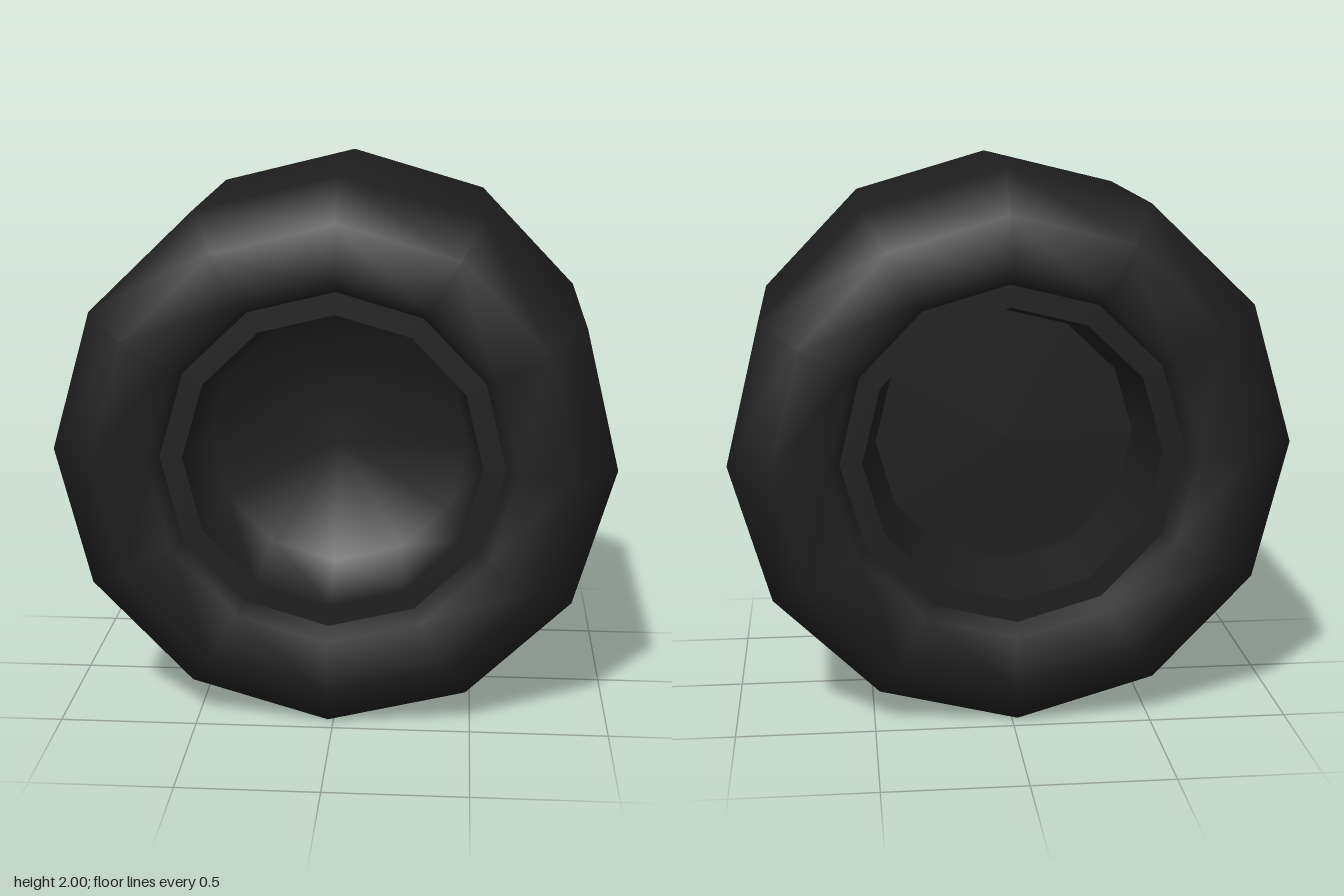
import * as THREE from 'three';

const SIDES = 12;

// Revolves a [radius, z] profile (running from back to front) about the z axis.
function revolve(name, profile, material) {
  const points = profile.map(([r, z]) => new THREE.Vector2(r, z));
  const geometry = new THREE.LatheGeometry(points, SIDES);
  geometry.rotateX(Math.PI / 2);
  const mesh = new THREE.Mesh(geometry, material);
  mesh.name = name;
  return mesh;
}

export function createModel() {
  const rubber = new THREE.MeshStandardMaterial({ color: 0x1e1e1e });
  rubber.name = 'black rubber';

  const wheel = new THREE.Group();
  wheel.name = 'wheel';

  // Smooth tyre with bevelled shoulders and a lip turning in to each rim
  const half = [[1, 0.43], [0.85, 0.55], [0.65, 0.55], [0.61, 0.48]];
  const back = half.map(([r, z]) => [r, -z]).reverse();
  wheel.add(revolve('tyre', [...back, ...half], rubber));

  // Flat rim rings on both faces
  wheel.add(revolve('frontRim', [[0.61, 0.48], [0.53, 0.48]], rubber));
  wheel.add(revolve('backRim', [[0.53, -0.48], [0.61, -0.48]], rubber));

  // Front hub is one softly shaded dish
  wheel.add(revolve('frontDish', [[0.53, 0.48], [0.475, 0.165], [0, 0.165]], rubber));

  // Back hub has a crisp edge between its wall and its disc
  wheel.add(revolve('backHubWall', [[0.475, -0.165], [0.53, -0.48]], rubber));
  wheel.add(revolve('backHubDisc', [[0, -0.165], [0.475, -0.165]], rubber));

  // Slight roll, standing on the ground
  wheel.rotation.z = THREE.MathUtils.degToRad(-1.2);
  wheel.position.y = 1;

  const model = new THREE.Group();
  model.name = 'tyreModel';
  model.add(wheel);
  return model;
}
